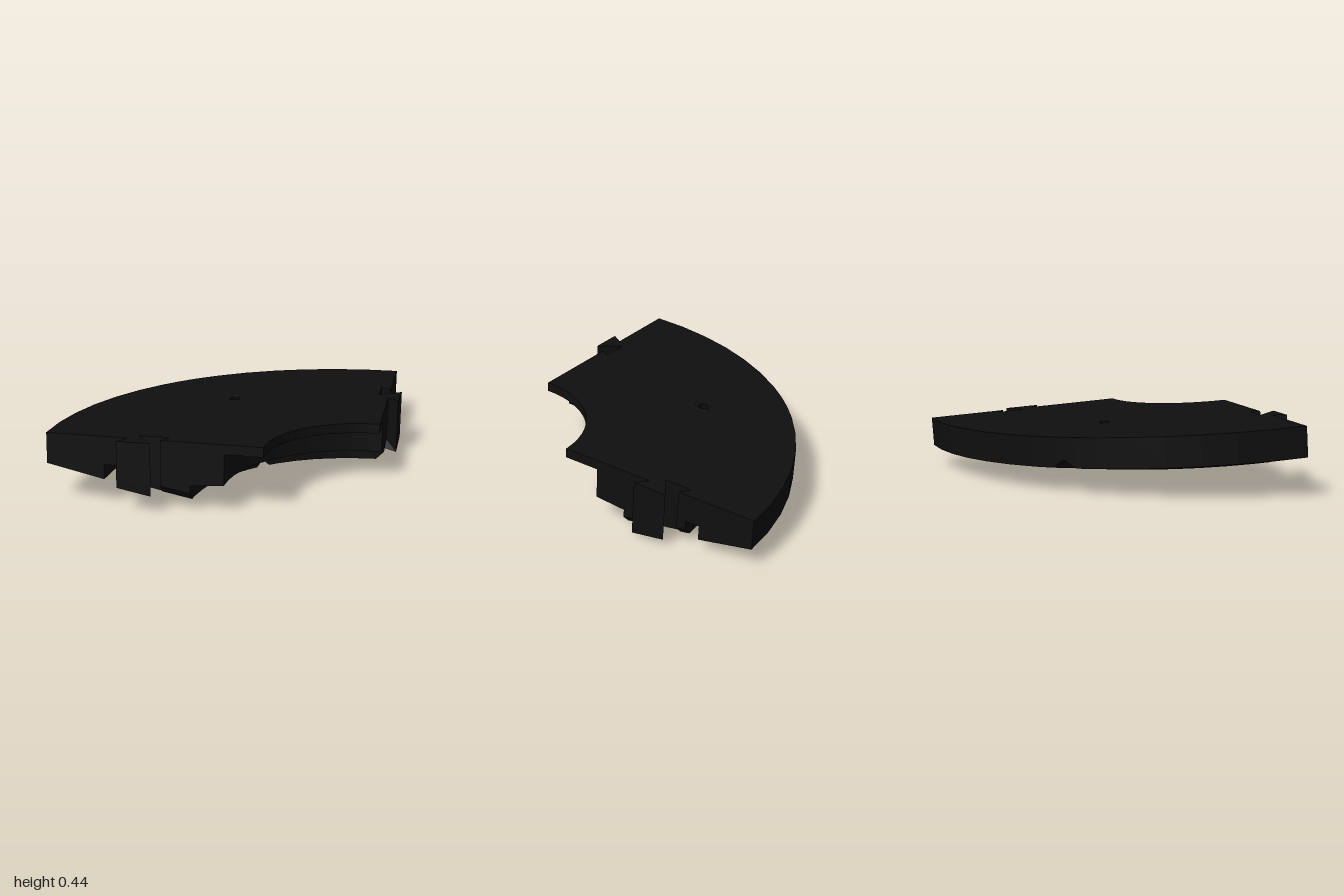
import * as THREE from 'three';

const STEP = Math.PI / 28;        // one facet of the quarter ring
const VEE = Math.PI / 72;         // half width of the radial V groove
const MID = Math.PI / 4;
const PEG = { r: 1.37, half: 0.045, hole: 0.033 };

// Ring zones: inner radius, outer radius, depth at each
const ZONES = [
  { name: 'innerLip', r0: 0.61, r1: 0.84, d0: 0.06, d1: 0.06 },
  { name: 'innerLedge', r0: 0.84, r1: 1.04, d0: 0.25, d1: 0.265 },
  { name: 'mainRing', r0: 1.04, r1: 1.47, d0: 0.365, d1: 0.285, vee: true, joint: true },
  { name: 'ringGroove', r0: 1.47, r1: 1.56, d0: 0.175, d1: 0.175 },
  { name: 'outerRing', r0: 1.56, r1: 1.91, d0: 0.265, d1: 0.19, vee: true },
];

// Dovetail outlines along each joint face: distance from centre, inset
const RIGHT_JOINT = [[1.21, 0], [1.15, -0.07], [1.37, -0.075], [1.28, 0.065], [1.46, 0.065], [1.41, 0]];
const FRONT_JOINT = [[1.22, 0], [1.18, 0.06], [1.36, 0.06], [1.26, -0.075], [1.465, -0.075], [1.415, 0]];

function depthAt(zone, r) {
  const t = THREE.MathUtils.clamp((r - zone.r0) / (zone.r1 - zone.r0), 0, 1);
  return THREE.MathUtils.lerp(zone.d0, zone.d1, t);
}

// Faceted sweep of the whole stepped section between the two end blocks
function sweptBody() {
  const profile = [];
  const add = (r, d, vee = false) => profile.push({ r, d, vee });
  const pegIn = PEG.r - PEG.half, pegOut = PEG.r + PEG.half;
  add(0.61, 0); add(pegIn, 0); add(pegOut, 0); add(1.91, 0);
  for (const z of [...ZONES].reverse()) {
    add(z.r1, z.d1, z.vee);
    if (z.joint) for (const r of [pegOut, pegIn]) add(r, depthAt(z, r), true);
    add(z.r0, z.d0, z.vee);
  }

  const pegAngle = PEG.half / PEG.r;
  const angles = [MID, MID - pegAngle, MID + pegAngle, MID - VEE, MID + VEE];
  for (let i = 1; i < 14; i++) if (i !== 7) angles.push(i * STEP);
  angles.sort((a, b) => a - b);

  const point = (p, a) => {
    const lift = p.vee ? 0.05 * Math.max(0, 1 - Math.abs(a - MID) / VEE) : 0;
    return [-p.r * Math.sin(a), lift - p.d, -p.r * Math.cos(a)];
  };
  const pos = [];
  for (let i = 0; i < angles.length - 1; i++) {
    const a0 = angles[i], a1 = angles[i + 1];
    const atPeg = Math.abs((a0 + a1) / 2 - MID) < pegAngle;
    profile.forEach((p, j) => {
      const q = profile[(j + 1) % profile.length];
      const isPeg = Math.abs((p.r + q.r) / 2 - PEG.r) < 0.001 && Math.abs(p.r - q.r) < 0.1;
      if (atPeg && isPeg) return;
      const a = point(p, a0), b = point(q, a0), c = point(q, a1), d = point(p, a1);
      pos.push(...a, ...b, ...c, ...a, ...c, ...d);
    });
  }
  const geo = new THREE.BufferGeometry();
  geo.setAttribute('position', new THREE.Float32BufferAttribute(pos, 3));
  geo.computeVertexNormals();
  return geo;
}

// One slab of an end block; top and bottom depths follow the zone slope
function endSlab(zone, outline, right, top, bottom, chamfer) {
  const c = Math.cos(STEP), s = Math.sin(STEP);
  const pts = [[zone.r0, 0], ...(zone.joint ? outline : []), [zone.r1, 0],
    [zone.r1 * c, zone.r1 * s], [zone.r0 * c, zone.r0 * s]];
  const shape = new THREE.Shape(pts.map(([u, v]) => new THREE.Vector2(u, v)));
  const geo = new THREE.ExtrudeGeometry(shape, { depth: 1, bevelEnabled: false });
  const p = geo.attributes.position;
  for (let i = 0; i < p.count; i++) {
    const u = p.getX(i);
    let v = p.getY(i);
    const w = right ? 1 - p.getZ(i) : p.getZ(i);
    const full = depthAt(zone, Math.hypot(u, v));
    const d = w > 0.5 ? bottom(full) : top(full);
    if (chamfer && w > 0.5 && Math.abs(v) < 1e-5) v = 0.05;
    if (right) p.setXYZ(i, -v, -d, -u);
    else p.setXYZ(i, -u, -d, -v);
  }
  geo.computeVertexNormals();
  return geo;
}

// Small square block with the round peg hole through it
function pegBlock() {
  const h = PEG.half;
  const shape = new THREE.Shape([[-h, -h], [h, -h], [h, h], [-h, h]].map(([x, y]) => new THREE.Vector2(x, y)));
  const hole = new THREE.Path();
  for (let i = 0; i < 8; i++) {
    const a = -i * MID;
    const x = PEG.hole * Math.cos(a), y = PEG.hole * Math.sin(a);
    if (i === 0) hole.moveTo(x, y); else hole.lineTo(x, y);
  }
  hole.closePath();
  shape.holes.push(hole);
  const geo = new THREE.ExtrudeGeometry(shape, { depth: 0.26, bevelEnabled: false });
  geo.rotateX(Math.PI / 2);
  geo.rotateY(MID);
  geo.translate(-PEG.r * Math.SQRT1_2, 0, -PEG.r * Math.SQRT1_2);
  return geo;
}

export function createModel() {
  const black = new THREE.MeshStandardMaterial({ color: 0x0f0f0f });
  black.name = 'black';

  const ring = new THREE.Group();
  ring.name = 'quarterRing';
  const add = (name, geo) => {
    const mesh = new THREE.Mesh(geo, black);
    mesh.name = name;
    ring.add(mesh);
  };

  add('ringBody', sweptBody());
  add('pegHole', pegBlock());

  // Interlocking end blocks
  for (const right of [true, false]) {
    const outline = right ? RIGHT_JOINT : FRONT_JOINT;
    const side = right ? 'right' : 'front';
    for (const zone of ZONES) {
      const cut = zone.joint ? 0.05 : 0;
      add(`${side} ${zone.name} end`, endSlab(zone, outline, right, () => 0, d => d - cut, false));
      if (cut) add(`${side} chamfered foot`, endSlab(zone, outline, right, d => d - cut, d => d, true));
    }
  }

  // Centre the arc, then tip the front edge up
  ring.position.set(0.915, 0, 0.91);
  const tilt = new THREE.Group();
  tilt.name = 'tiltedSegment';
  tilt.rotation.x = -0.066;
  tilt.position.y = 0.375;
  tilt.add(ring);

  const model = new THREE.Group();
  model.name = 'ringSegment';
  model.add(tilt);
  return model;
}
